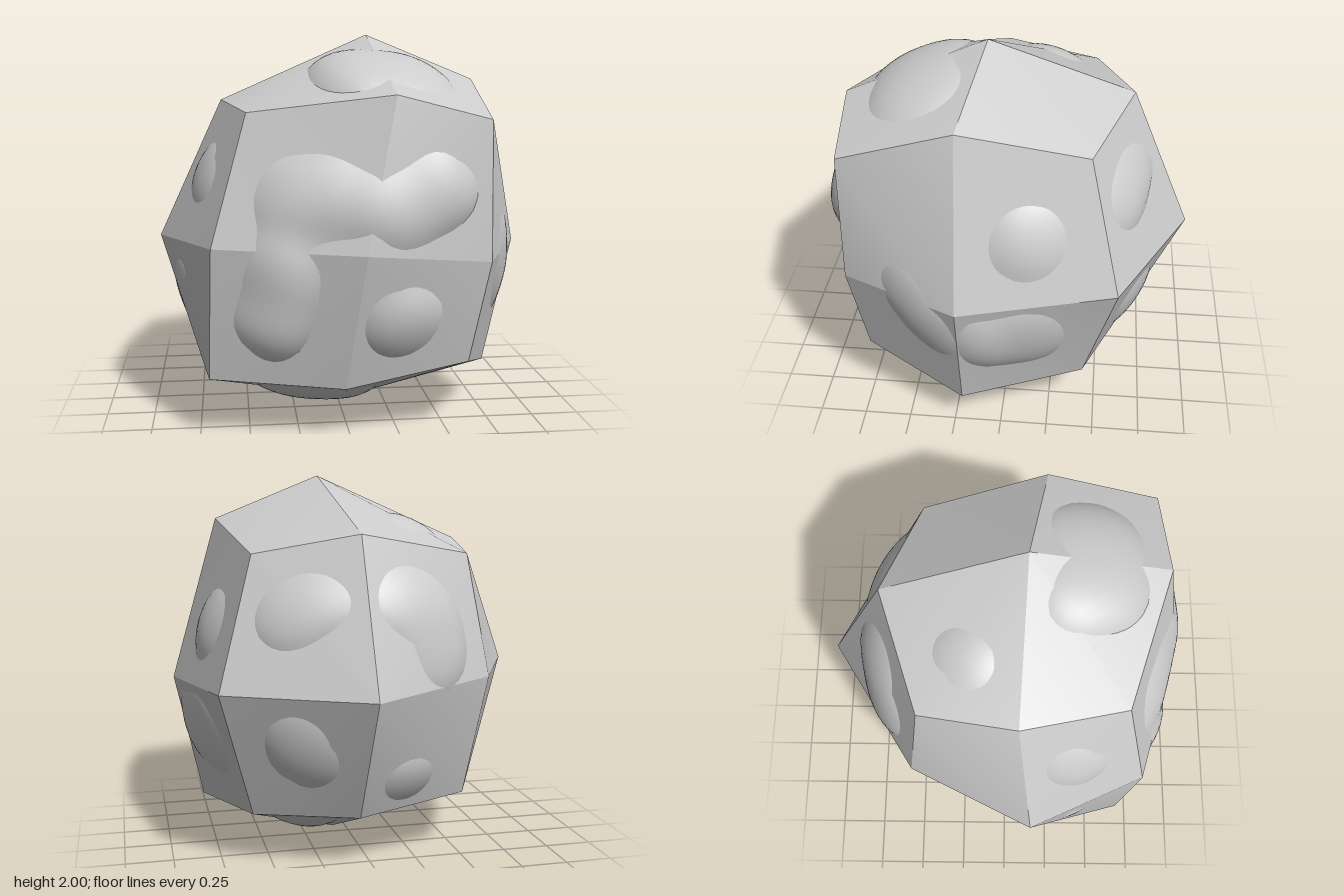
import * as THREE from 'three';
import { mergeVertices } from 'three/addons/utils/BufferGeometryUtils.js';

const CENTRE = new THREE.Vector3(0.04, 0.96, 0.09);

// Corners of the faceted stone: top peak, three rings of eight (front left, round by +x), bottom peak
const CORNERS = [
  [0.15, 2.0, 0.11],
  // upper ring
  [-0.5, 1.62, 0.61], [0.2, 1.71, 0.83], [0.67, 1.59, 0.79], [0.7, 1.77, 0.21],
  [0.59, 1.61, -0.43], [0.08, 1.71, -0.63], [-0.53, 1.6, -0.43], [-0.62, 1.66, 0.07],
  // middle ring
  [-0.68, 0.98, 0.74], [0.05, 0.97, 0.95], [0.68, 0.9, 0.8], [0.95, 0.9, 0.2],
  [0.78, 0.94, -0.59], [0.07, 0.94, -0.95], [-0.64, 0.96, -0.5], [-0.95, 0.95, 0.14],
  // lower ring
  [-0.7, 0.31, 0.66], [-0.03, 0.27, 0.77], [0.59, 0.38, 0.73], [0.8, 0.22, 0.2],
  [0.6, 0.28, -0.43], [0.08, 0.28, -0.62], [-0.53, 0.32, -0.43], [-0.72, 0.27, 0.1],
  [0.07, 0, 0.1],
];

// Worn swellings that break through the facets: direction point and height above the facet
const SWELLINGS = [
  // top
  [0.08, 1.93, 0.38, 0.05], [0.38, 1.88, 0.35, 0.05], [0.42, 1.8, 0.6, 0.06],
  [0.15, 1.82, 0.6, 0.05], [-0.32, 1.75, -0.27, 0.03],
  // bottom
  [-0.3, 0.15, 0.4, 0.05], [-0.08, 0.12, 0.45, 0.05], [-0.45, 0.2, 0.42, 0.04],
  [0.4, 0.2, -0.35, 0.04], [-0.15, 0.33, -0.67, 0.03],
  // +x side
  [0.9, 0.65, -0.2, 0.04], [0.85, 0.42, -0.22, 0.04], [0.9, 0.72, 0.33, 0.03],
  [0.9, 0.5, 0.15, 0.03], [0.8, 0.98, 0.55, 0.02], [0.85, 1.32, -0.27, 0.035],
  // back
  [-0.25, 1.4, -0.72, 0.05], [-0.32, 1.15, -0.78, 0.04], [-0.06, 1.5, -0.73, 0.04],
  [0.28, 1.5, -0.68, 0.03], [0.52, 1.4, -0.64, 0.04], [0.4, 0.55, -0.72, 0.035],
  [0.43, 0.74, -0.75, 0.035],
  // -x side
  [-0.75, 1.35, 0.42, 0.03], [-0.86, 0.7, 0.3, 0.02], [-0.78, 0.45, 0.25, 0.02],
  // front
  [-0.45, 1.33, 0.8, 0.025], [-0.1, 1.4, 0.88, 0.025], [0.22, 1.28, 0.9, 0.025],
  [0.5, 1.4, 0.85, 0.04], [0.33, 0.48, 0.83, 0.03], [-0.57, 0.5, 0.75, 0.03],
  [-0.52, 0.8, 0.82, 0.02],
];

// Each quad keeps its own corners, so its edges stay sharp
function facetGeometry() {
  const quads = [];
  for (let i = 1; i <= 8; i++) {
    const next = (i % 8) + 1;
    const prev = i === 1 ? 8 : i - 1;
    if (i % 2) quads.push([0, prev, i, next], [25, next + 16, i + 16, prev + 16]);
    for (const row of [0, 8]) {
      const a = i + row, b = next + row;
      // Fold every quad from the face centre to the outer corner
      const folded = (i % 2 === 1) === (row === 0);
      quads.push(folded ? [a, a + 8, b + 8, b] : [a + 8, b + 8, b, a]);
    }
  }
  const positions = [], index = [];
  quads.forEach((quad, q) => {
    for (const c of quad) positions.push(...CORNERS[c]);
    for (const k of [0, 1, 2, 0, 2, 3]) index.push(4 * q + k);
  });
  const geometry = new THREE.BufferGeometry();
  geometry.setAttribute('position', new THREE.Float32BufferAttribute(positions, 3));
  geometry.setIndex(index);
  geometry.computeVertexNormals();
  return geometry;
}

// Smooth ball, mostly inside the facets, whose radius swells toward each crown
function swollenBall(facets) {
  const crowns = SWELLINGS.map(([x, y, z, lift]) => {
    const dir = new THREE.Vector3(x, y, z).sub(CENTRE).normalize();
    const start = CENTRE.clone().addScaledVector(dir, 3);
    const [hit] = new THREE.Raycaster(start, dir.clone().negate()).intersectObject(facets);
    return { dir, radius: 3 - hit.distance + lift };
  });

  const ball = new THREE.IcosahedronGeometry(1, 22);
  ball.deleteAttribute('uv');
  ball.deleteAttribute('normal');
  const geometry = mergeVertices(ball, 1e-4);
  const pos = geometry.attributes.position;
  const d = new THREE.Vector3();
  for (let i = 0; i < pos.count; i++) {
    d.fromBufferAttribute(pos, i).normalize();
    let weight = 0.15, sum = 0.15 * 0.8;
    for (const c of crowns) {
      const w = Math.exp(45 * (d.dot(c.dir) - 1));
      weight += w;
      sum += w * c.radius;
    }
    d.multiplyScalar(sum / weight).add(CENTRE);
    pos.setXYZ(i, d.x, d.y, d.z);
  }
  geometry.computeVertexNormals();
  return geometry;
}

export function createModel() {
  const model = new THREE.Group();
  model.name = 'boulder';
  const stone = new THREE.MeshStandardMaterial({ color: 0xcccccc });

  const facets = new THREE.Mesh(facetGeometry(), stone);
  facets.name = 'facetedStone';

  const swellings = new THREE.Mesh(swollenBall(facets), stone);
  swellings.name = 'wornSwellings';

  model.add(facets, swellings);
  return model;
}
